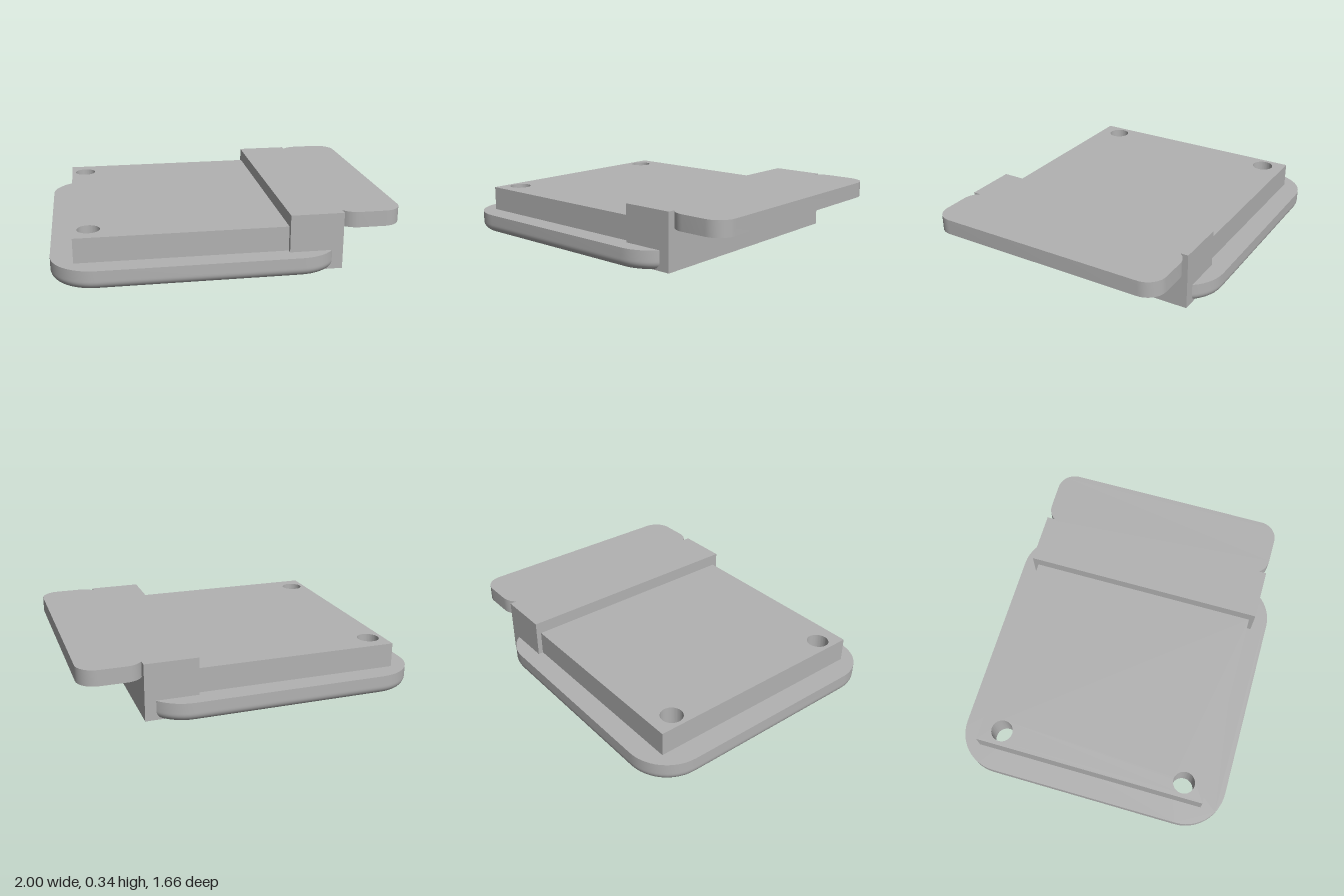
import * as THREE from 'three';
import { toCreasedNormals } from 'three/addons/utils/BufferGeometryUtils.js';

const HOLES = [[-0.78, 0.57], [-0.78, -0.57]];
const CREASE = 0.5;

// Counter-clockwise points of a rounded rectangle, symmetric about z = 0
function roundedRect(x0, x1, halfZ, r, steps = 12) {
  const centres = [[x1 - r, halfZ - r], [x0 + r, halfZ - r], [x0 + r, r - halfZ], [x1 - r, r - halfZ]];
  const points = [];
  centres.forEach(([cx, cz], corner) => {
    for (let i = 0; i <= steps; i++) {
      const a = (corner + i / steps) * Math.PI / 2;
      points.push(new THREE.Vector2(cx + r * Math.cos(a), cz + r * Math.sin(a)));
    }
  });
  return points;
}

function shapeWithHoles(points, holeRadius) {
  const shape = new THREE.Shape(points);
  if (holeRadius) {
    for (const [x, z] of HOLES) {
      shape.holes.push(new THREE.Path().absarc(x, z, holeRadius, 0, Math.PI * 2, true));
    }
  }
  return shape;
}

// Horizontal slab between two heights
function slab(points, y0, y1, holeRadius = 0) {
  const geometry = new THREE.ExtrudeGeometry(shapeWithHoles(points, holeRadius), {
    depth: y1 - y0, bevelEnabled: false, curveSegments: 32,
  });
  geometry.rotateX(-Math.PI / 2).translate(0, y0, 0);
  return toCreasedNormals(geometry, CREASE);
}

// Wall skinned through stacked outlines, listed from bottom to top
function skin(rings) {
  const n = rings[0].points.length;
  const positions = [], index = [];
  for (const { points, y } of rings) for (const p of points) positions.push(p.x, y, -p.y);
  for (let k = 0; k < rings.length - 1; k++) {
    for (let i = 0; i < n; i++) {
      const j = (i + 1) % n;
      const a = k * n + i, b = k * n + j, c = a + n, d = b + n;
      index.push(a, b, d, a, d, c);
    }
  }
  const geometry = new THREE.BufferGeometry();
  geometry.setAttribute('position', new THREE.Float32BufferAttribute(positions, 3));
  geometry.setIndex(index);
  return toCreasedNormals(geometry, CREASE);
}

export function createModel() {
  const grey = new THREE.MeshStandardMaterial({ color: 0xb2b2b2 });
  grey.name = 'plain grey';
  const greyInside = new THREE.MeshStandardMaterial({ color: 0xb2b2b2, side: THREE.DoubleSide });
  greyInside.name = 'plain grey open surface';

  const group = new THREE.Group();
  group.name = 'mountingPlate';
  const add = (name, geometry, material = grey) => {
    const mesh = new THREE.Mesh(geometry, material);
    mesh.name = name;
    group.add(mesh);
    return mesh;
  };

  const baseTop = 0.115, shelf = 0.055, fillet = 0.05;
  const holeRadius = 0.065, boreRadius = 0.1;
  const baseOutline = (inset) => roundedRect(-1 + inset, 0.64 - inset, 0.83 - inset, 0.25 - inset);

  // Upper half of the base, whose underside is the shelf of the counterbores
  add('baseUpper', slab(baseOutline(0), shelf, baseTop, holeRadius));

  // Filleted lower rim of the base
  const rings = [];
  for (let i = 0; i <= 8; i++) {
    const a = (i / 8) * Math.PI / 2;
    rings.push({ points: baseOutline(fillet * (1 - Math.sin(a))), y: fillet * (1 - Math.cos(a)) });
  }
  rings.push({ points: baseOutline(0), y: shelf });
  add('baseRim', skin(rings));

  // Flat underside with the counterbore openings
  const underside = new THREE.ShapeGeometry(shapeWithHoles(baseOutline(fillet), boreRadius), 32);
  add('baseUnderside', underside.rotateX(Math.PI / 2));

  // Counterbore walls
  for (const [x, z] of HOLES) {
    const wall = new THREE.CylinderGeometry(boreRadius, boreRadius, shelf, 64, 1, true);
    add('counterbore', wall.translate(x, shelf / 2, z), greyInside);
  }

  // Raised deck, drilled through
  const deckOutline = [[-0.87, -0.705], [0.34, -0.705], [0.34, 0.705], [-0.87, 0.705]]
    .map(([x, z]) => new THREE.Vector2(x, z));
  add('deck', slab(deckOutline, baseTop, 0.26, holeRadius));

  // Upright end block
  add('endBlock', new THREE.BoxGeometry(0.31, 0.335, 1.47).translate(0.495, 0.1675, 0));

  // Overhanging tab, its inner corners rounded into the block
  add('tab', slab(roundedRect(0.63, 1, 0.735, 0.11), 0.243, 0.335));

  return group;
}
